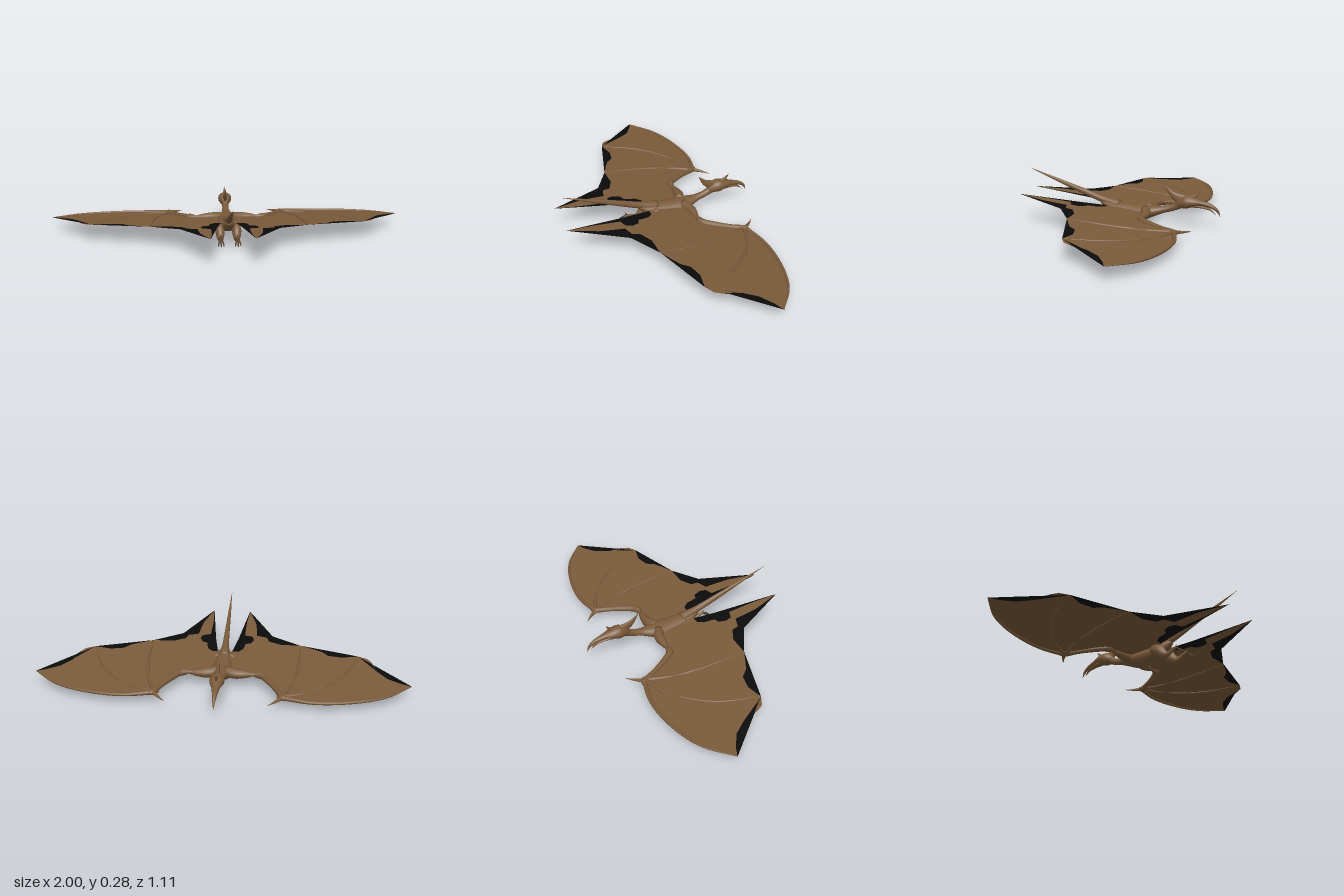
import * as THREE from 'three';

const hide = new THREE.MeshStandardMaterial({ color: 0x7a5a3a, side: THREE.DoubleSide });
hide.name = 'brown hide';
const dark = new THREE.MeshStandardMaterial({ color: 0x0b0b0b, side: THREE.DoubleSide });
dark.name = 'black wing edge';
const claw = new THREE.MeshStandardMaterial({ color: 0x523a26 });
claw.name = 'dark claw';

// Smooth limb through [x, y, z, halfWidth, halfHeight] stations, capped by shrinking ends
function limb(name, stations, material = hide, steps = 24, sides = 12) {
  const path = new THREE.CatmullRomCurve3(stations.map((p) => new THREE.Vector3(p[0], p[1], p[2])));
  const girth = new THREE.CatmullRomCurve3(stations.map((p) => new THREE.Vector3(p[3], p[4] ?? p[3], 0)));
  const up = new THREE.Vector3(0, 1, 0);
  const pos = [], index = [];
  for (let i = -1; i <= steps + 1; i++) {
    const t = THREE.MathUtils.clamp(i / steps, 0, 1);
    const c = path.getPoint(t), g = girth.getPoint(t), tan = path.getTangent(t);
    const size = i < 0 || i > steps ? 0 : 1;
    const side = up.clone().cross(tan).normalize();
    const top = tan.clone().cross(side);
    for (let j = 0; j < sides; j++) {
      const a = (j / sides) * Math.PI * 2;
      const v = c.clone()
        .addScaledVector(side, Math.cos(a) * Math.max(g.x, 0.0003) * size)
        .addScaledVector(top, Math.sin(a) * Math.max(g.y, 0.0003) * size);
      pos.push(v.x, v.y, v.z);
    }
  }
  for (let i = 0; i < steps + 2; i++) {
    for (let j = 0; j < sides; j++) {
      const k = (j + 1) % sides;
      const a = i * sides + j, b = i * sides + k;
      index.push(a, b, a + sides, b, b + sides, a + sides);
    }
  }
  const geo = new THREE.BufferGeometry();
  geo.setAttribute('position', new THREE.Float32BufferAttribute(pos, 3));
  geo.setIndex(index);
  geo.computeVertexNormals();
  const mesh = new THREE.Mesh(geo, material);
  mesh.name = name;
  return mesh;
}

// Height of the gently tilted wing sheet
const wingY = (z) => 0.094 + 0.1 * z;

// Flat sheet from an [x, z] outline
function sheet(name, outline, s, material) {
  const geo = new THREE.ShapeGeometry(new THREE.Shape(outline.map(([x, z]) => new THREE.Vector2(x * s, z))));
  const p = geo.attributes.position;
  for (let i = 0; i < p.count; i++) {
    const z = p.getY(i);
    p.setXYZ(i, p.getX(i), wingY(z), z);
  }
  // Turn the faces upward
  const idx = geo.index;
  for (let i = 0; i < idx.count; i += 3) {
    const b = idx.getX(i + 1);
    idx.setX(i + 1, idx.getX(i + 2));
    idx.setX(i + 2, b);
  }
  geo.computeVertexNormals();
  const mesh = new THREE.Mesh(geo, material);
  mesh.name = name;
  return mesh;
}

function wing(s) {
  const g = new THREE.Group();
  g.name = s > 0 ? 'leftWing' : 'rightWing';

  const leading = [[0, 0.06], [0, -0.17], [0.07, -0.19], [0.2, -0.18], [0.25, -0.21], [0.3, -0.29],
    [0.33, -0.385], [0.49, -0.425], [0.7, -0.4], [0.86, -0.34]];
  // Points on the outer rim, and the ragged inner line of each dark border
  const borders = [
    { rim: [[1, -0.225], [0.74, 0.06]], inner: [[0.95, -0.205], [0.88, -0.16], [0.83, -0.09], [0.81, 0], [0.79, 0.035]] },
    { rim: [[0.74, 0.06], [0.42, 0.155]], inner: [[0.65, 0.04], [0.575, 0.055], [0.54, 0.095], [0.49, 0.122]] },
    { rim: [[0.42, 0.155], [0.26, 0.25], [0.185, 0.4], [0.11, 0.55]],
      inner: [[0.31, 0.155], [0.24, 0.19], [0.23, 0.23], [0.17, 0.25], [0.165, 0.32], [0.158, 0.39], [0.135, 0.47]] },
    { rim: [[0.11, 0.55], [0.065, 0.2], [0.04, 0.06]],
      inner: [[0.1, 0.4], [0.1, 0.25], [0.145, 0.235], [0.155, 0.2], [0.14, 0.16], [0.11, 0.15], [0.1, 0.09], [0.075, 0.06]] },
  ];
  const outline = [...leading];
  for (const { rim, inner } of borders) {
    outline.push(rim[0], ...inner);
    g.add(sheet('membraneBorder', [...rim, ...[...inner].reverse()], s, dark));
  }
  outline.push([0.04, 0.06]);
  g.add(sheet('membrane', outline, s, hide));

  // Bones: [x, z, radius] stations lying along the sheet
  const bone = (name, pts, lift = 0) =>
    g.add(limb(name, pts.map(([x, z, r]) => [x * s, wingY(z) + lift, z, r, r])));
  bone('arm', [[0.02, -0.15, 0.03], [0.08, -0.17, 0.028], [0.15, -0.172, 0.018], [0.21, -0.175, 0.018],
    [0.255, -0.23, 0.016], [0.3, -0.31, 0.013], [0.335, -0.38, 0.016], [0.35, -0.395, 0.008]]);
  bone('leadingFinger', [[0.33, -0.38, 0.013], [0.49, -0.415, 0.009], [0.7, -0.392, 0.008],
    [0.86, -0.334, 0.006], [1, -0.225, 0.001]]);
  bone('middleFinger', [[0.33, -0.375, 0.012], [0.45, -0.33, 0.008], [0.56, -0.25, 0.008],
    [0.66, -0.13, 0.007], [0.74, 0.06, 0.001]]);
  bone('innerFinger', [[0.33, -0.37, 0.012], [0.375, -0.26, 0.008], [0.405, -0.13, 0.008],
    [0.418, 0.01, 0.007], [0.42, 0.155, 0.001]]);
  bone('thumbClaw', [[0.335, -0.375, 0.014], [0.315, -0.4, 0.009], [0.29, -0.43, 0.005], [0.26, -0.457, 0.0005]]);
  bone('wristSpur', [[0.33, -0.37, 0.009], [0.318, -0.385, 0.007], [0.3, -0.37, 0.0005]]);
  return g;
}

function leg(s) {
  const g = new THREE.Group();
  g.name = s > 0 ? 'leftLeg' : 'rightLeg';
  const x = 0.045 * s;
  g.add(limb('thighAndShin', [[0.035 * s, 0.085, 0, 0.02, 0.025], [x, 0.06, 0.045, 0.026, 0.032],
    [x, 0.027, 0.085, 0.02, 0.024], [x, 0.022, 0.11, 0.013, 0.015], [x, 0.038, 0.14, 0.008, 0.009],
    [x, 0.046, 0.168, 0.007, 0.007]]));
  // Three splayed toes and a raised back spur
  for (const d of [-1, 0, 1]) {
    g.add(limb('toe', [[x, 0.046, 0.16, 0.006], [x + d * 0.008, 0.032, 0.183, 0.005],
      [x + d * 0.014, 0.016, 0.203, 0.004], [x + d * 0.016, 0.009, 0.225 - Math.abs(d) * 0.012, 0.0005]], claw, 10, 8));
  }
  g.add(limb('heelSpur', [[x, 0.042, 0.16, 0.006], [x, 0.052, 0.164, 0.004], [x, 0.064, 0.168, 0.0005]], claw, 6, 8));
  return g;
}

export function createModel() {
  const model = new THREE.Group();
  model.name = 'wingedReptile';

  // Trunk and neck
  model.add(limb('body', [[0, 0.115, 0.1, 0.014, 0.016], [0, 0.085, 0.04, 0.04, 0.033], [0, 0.07, -0.04, 0.052, 0.041],
    [0, 0.066, -0.13, 0.06, 0.042], [0, 0.076, -0.19, 0.042, 0.03], [0, 0.089, -0.25, 0.022, 0.019],
    [0, 0.103, -0.3, 0.018, 0.019], [0, 0.128, -0.35, 0.024, 0.024]], hide, 40, 18));
  model.add(limb('tail', [[0, 0.1, 0, 0.03, 0.025], [0, 0.125, 0.1, 0.018, 0.019], [0, 0.16, 0.2, 0.014, 0.017],
    [0, 0.21, 0.34, 0.009, 0.011], [0, 0.28, 0.53, 0.0005]], hide, 30));

  // Head with hooked beak, swept crest and brow horn
  const head = new THREE.Group();
  head.name = 'head';
  head.add(limb('skullAndUpperBeak', [[0, 0.12, -0.32, 0.018, 0.018], [0, 0.138, -0.375, 0.039, 0.036],
    [0, 0.14, -0.42, 0.033, 0.025], [0, 0.136, -0.46, 0.019, 0.014], [0, 0.122, -0.51, 0.012, 0.011],
    [0, 0.1, -0.543, 0.007, 0.008], [0, 0.068, -0.56, 0.0005]], hide, 32, 16));
  head.add(limb('lowerJaw', [[0, 0.122, -0.41, 0.024, 0.012], [0, 0.115, -0.46, 0.015, 0.007],
    [0, 0.103, -0.505, 0.009, 0.005], [0, 0.075, -0.537, 0.0005]]));
  head.add(limb('crest', [[0, 0.145, -0.39, 0.014, 0.028], [0, 0.15, -0.345, 0.012, 0.028],
    [0, 0.172, -0.3, 0.007, 0.018], [0, 0.22, -0.255, 0.0005]]));
  head.add(limb('browHorn', [[0, 0.145, -0.385, 0.012, 0.026], [0, 0.168, -0.418, 0.007, 0.014],
    [0, 0.198, -0.445, 0.0005]]));
  model.add(head);

  for (const s of [1, -1]) model.add(wing(s), leg(s));
  return model;
}
